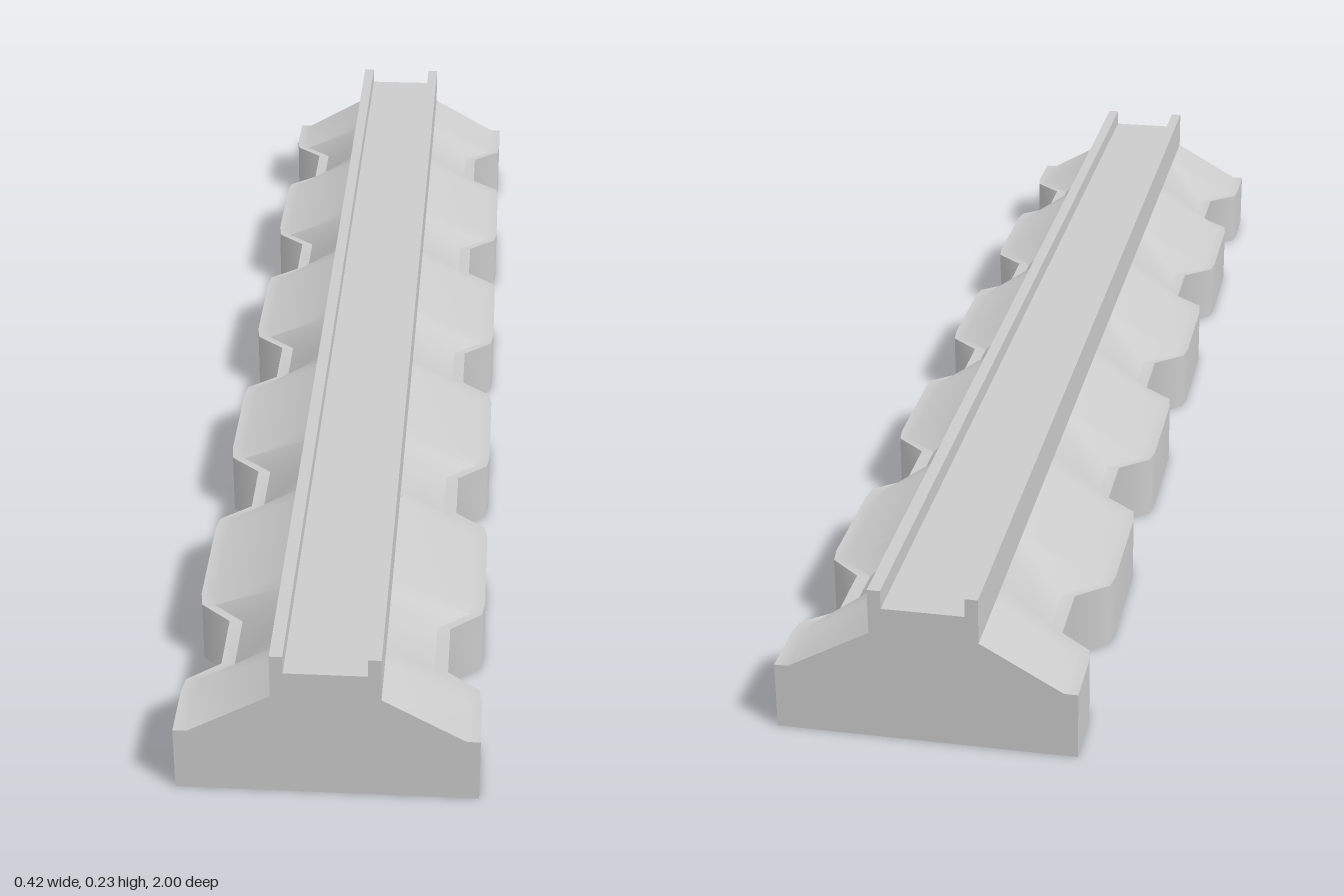
import * as THREE from 'three';
import { toCreasedNormals } from 'three/addons/utils/BufferGeometryUtils.js';

// Cross-section, counter-clockwise seen from the front: w = half width, foot = underside height
function section(w, foot) {
  const right = [
    [w, foot], [w, 0.098], [w - 0.019, 0.098], // side wall and narrow ledge
    [0.075, 0.163], [0.075, 0.229],            // sloped flank and rail
    [0.057, 0.229], [0.057, 0.202],            // channel
  ];
  return [...right, ...right.map(([x, y]) => [-x, y]).reverse()];
}

// Stations along z: [z, half width, underside height]
function stations() {
  const flare = [[0.115, 0.209], [0.088, 0.205], [0.05, 0.16]];
  const list = [[-1, 0.209, 0]];
  for (let i = 0; i < 5; i++) {
    const g = -0.8 + i * 0.4; // centre of each notch
    flare.forEach(([d, w]) => list.push([g - d, w, 0]));
    list.push([g - 0.05, 0.16, 0.09], [g + 0.05, 0.16, 0.09]);
    [...flare].reverse().forEach(([d, w]) => list.push([g + d, w, 0]));
  }
  list.push([1, 0.209, 0]);
  return list;
}

function loftGeometry() {
  const rows = stations();
  const positions = [], index = [];
  let n = 0;
  for (const [z, w, foot] of rows) {
    const pts = section(w, foot);
    n = pts.length;
    pts.forEach(([x, y]) => positions.push(x, y, z));
  }
  // skin between neighbouring sections
  for (let s = 0; s < rows.length - 1; s++) {
    for (let i = 0; i < n; i++) {
      const a = s * n + i, b = s * n + (i + 1) % n;
      // mirror the diagonal so both sides match
      if (i < n / 2) index.push(a, b, b + n, a, b + n, a + n);
      else index.push(a, b, a + n, b, b + n, a + n);
    }
  }
  // end caps
  const outline = section(0.209, 0).map(([x, y]) => new THREE.Vector2(x, y));
  const last = (rows.length - 1) * n;
  for (const [a, b, c] of THREE.ShapeUtils.triangulateShape(outline, [])) {
    index.push(last + a, last + b, last + c, a, c, b);
  }
  const geometry = new THREE.BufferGeometry();
  geometry.setAttribute('position', new THREE.Float32BufferAttribute(positions, 3));
  geometry.setIndex(index);
  return toCreasedNormals(geometry, 0.75);
}

export function createModel() {
  const group = new THREE.Group();
  group.name = 'notchedRail';
  const material = new THREE.MeshStandardMaterial({ color: 0xcccccc });
  const body = new THREE.Mesh(loftGeometry(), material);
  body.name = 'railBody';
  group.add(body);
  return group;
}
